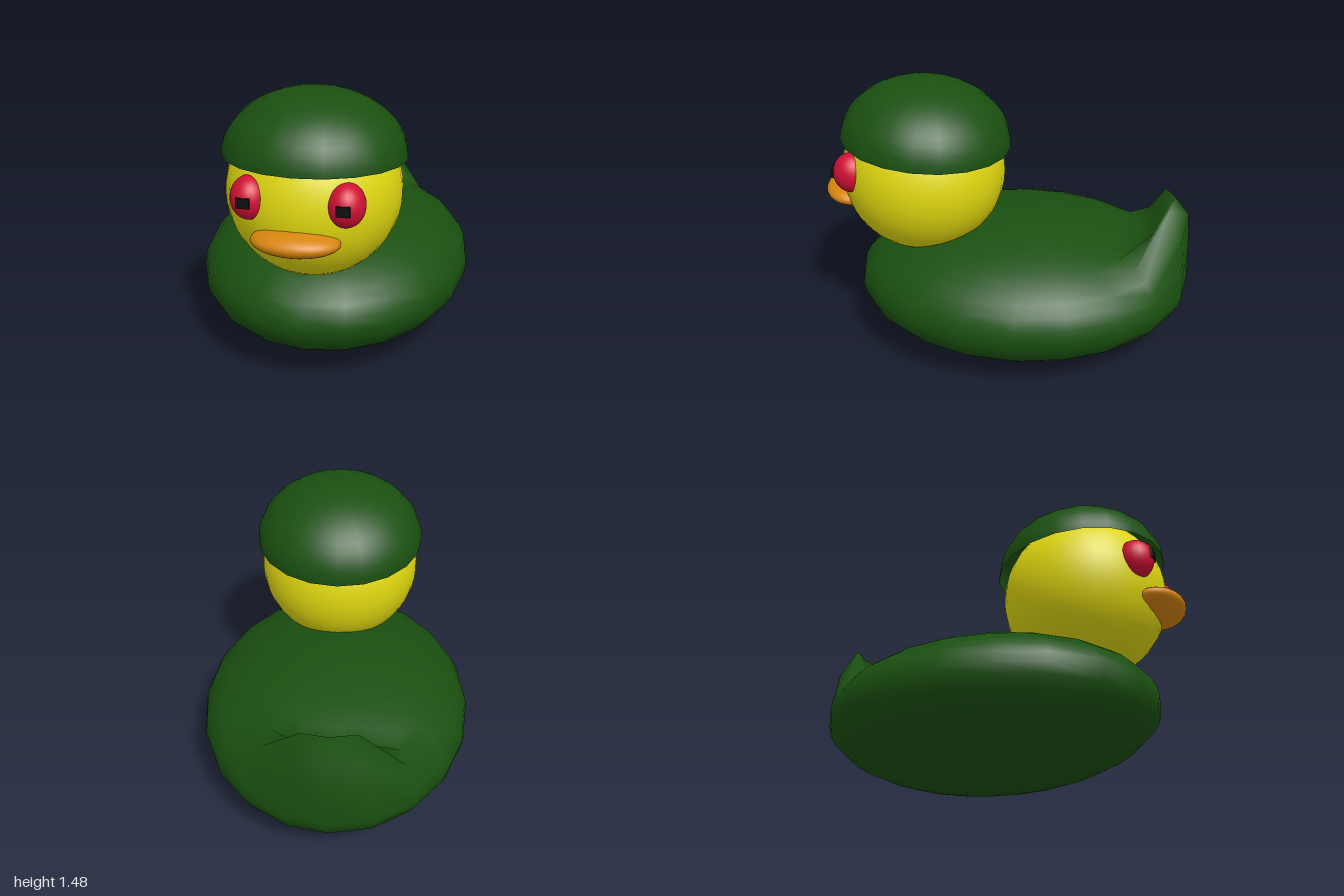
import * as THREE from 'three';
import { mergeVertices } from 'three/addons/utils/BufferGeometryUtils.js';

const paint = (color, side = THREE.FrontSide) => new THREE.MeshStandardMaterial({ color, side });
const GREEN = 0x1a5010, YELLOW = 0xe0d810, RED = 0xd01034, ORANGE = 0xd8860f, BLACK = 0x101010;

function ellipsoid(name, material, [rx, ry, rz], [x, y, z], w = 24, h = 20) {
  const mesh = new THREE.Mesh(new THREE.SphereGeometry(1, w, h).scale(rx, ry, rz), material);
  mesh.name = name;
  mesh.position.set(x, y, z);
  return mesh;
}

// Flattened ellipsoid whose rear vertices are drawn up into a tail
function makeBody() {
  const n = 20;
  const geo = new THREE.SphereGeometry(1, n, n).scale(0.735, 0.367, 0.915).translate(0, 0.37, -0.085);
  const pos = geo.attributes.position;
  // per row: [y, z] on the centre line, then [x, y, z] one step to each side
  const tail = [
    [0.74, -0.82, 0.16, 0.72, -0.79],
    [0.86, -0.9, 0.14, 0.845, -0.86],
    [0.76, -0.98, 0.19, 0.69, -0.935],
    [0.56, -0.995, 0.22, 0.51, -0.955],
  ];
  const back = n * 0.75;
  tail.forEach(([cy, cz, sx, sy, sz], i) => {
    const start = (6 + i) * (n + 1) + back;
    pos.setXYZ(start, 0, cy, cz);
    for (const s of [-1, 1]) {
      const k = start + s;
      pos.setXYZ(k, Math.sign(pos.getX(k)) * sx, sy, sz);
    }
  });
  // weld the seam so that the shading stays smooth
  geo.deleteAttribute('uv');
  geo.deleteAttribute('normal');
  const welded = mergeVertices(geo, 1e-4);
  welded.computeVertexNormals();
  const mesh = new THREE.Mesh(welded, paint(GREEN));
  mesh.name = 'bodyWithTail';
  return mesh;
}

// Open half dome, tipped slightly back
function makeCap() {
  const geo = new THREE.SphereGeometry(1, 20, 12, 0, Math.PI * 2, 0, Math.PI / 2).scale(0.46, 0.335, 0.457);
  const cap = new THREE.Mesh(geo, paint(GREEN, THREE.DoubleSide));
  cap.name = 'cap';
  cap.position.set(0, 1.15, 0.445);
  cap.rotation.x = -0.085;
  return cap;
}

export function createModel() {
  const model = new THREE.Group();
  model.name = 'duck';
  model.add(makeBody());
  model.add(ellipsoid('head', paint(YELLOW), [0.44, 0.44, 0.44], [0, 0.98, 0.46], 32, 24));
  model.add(makeCap());

  // Beak
  const beak = ellipsoid('beak', paint(ORANGE), [0.217, 0.066, 0.15], [0, 0.858, 0.85]);
  beak.rotation.x = -0.08;
  model.add(beak);

  // Eyes with square pupils
  for (const [side, s] of [['left', 1], ['right', -1]]) {
    model.add(ellipsoid(side + 'Eye', paint(RED), [0.093, 0.108, 0.1], [s * 0.23, 1.04, 0.8]));
    const pupil = new THREE.Mesh(new THREE.BoxGeometry(0.066, 0.05, 0.05), paint(BLACK));
    pupil.name = side + 'Pupil';
    pupil.position.set(s * 0.235, 1.045, 0.878);
    model.add(pupil);
  }
  return model;
}
